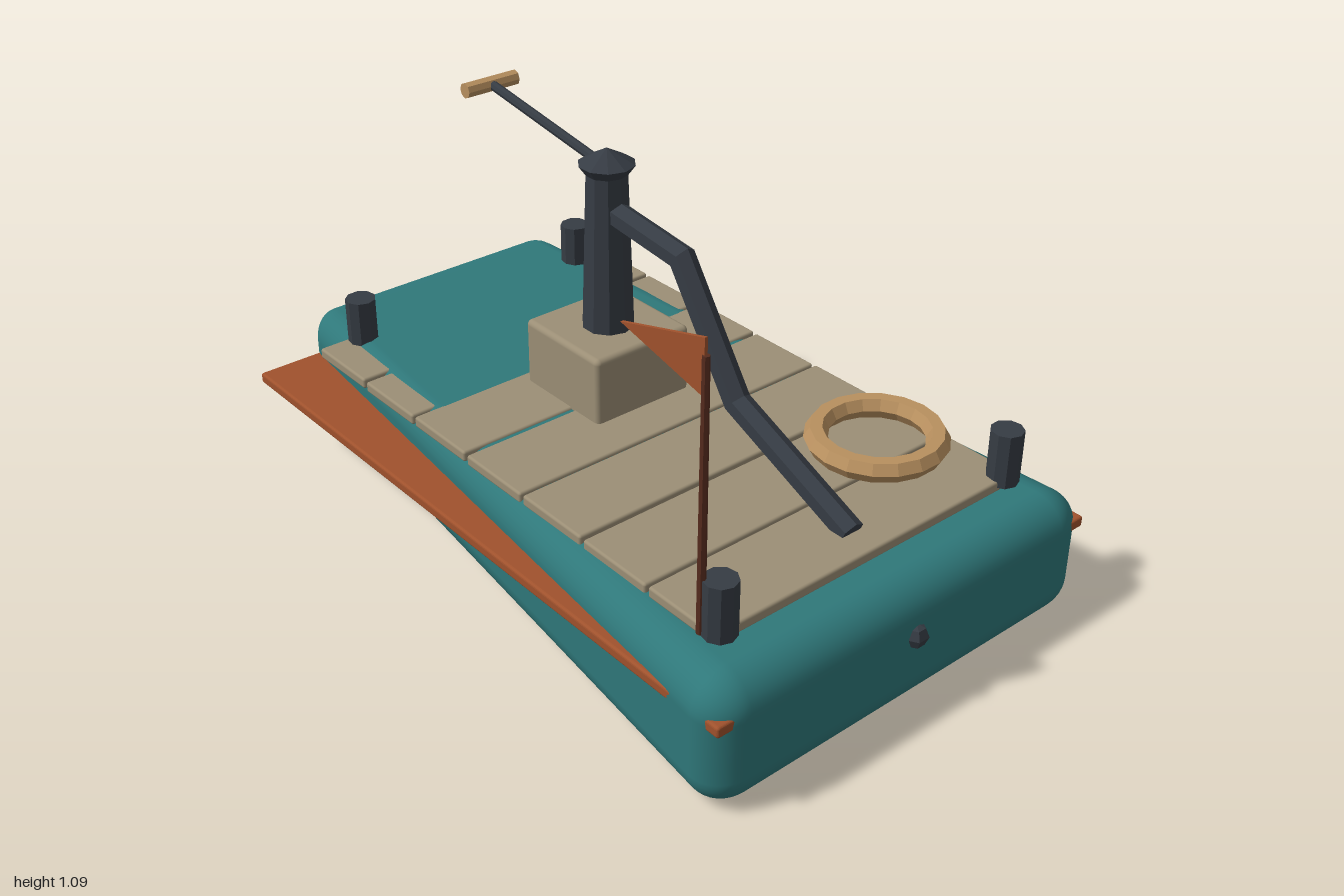
import * as THREE from 'three';
import { RoundedBoxGeometry } from 'three/addons/geometries/RoundedBoxGeometry.js';

const mat = (name, color, extra = {}) => {
  const m = new THREE.MeshStandardMaterial({ color, ...extra });
  m.name = name;
  return m;
};

export function createModel() {
  const flat = { flatShading: true };
  const teal = mat('tealHull', 0x2f787a);
  const wood = mat('greyWood', 0x9c8f76);
  const tan = mat('tanRope', 0xb8905f, flat);
  const iron = mat('darkIron', 0x363c44, flat);
  const rust = mat('rust', 0xa0522d, { ...flat, side: THREE.DoubleSide });
  const brown = mat('darkBrown', 0x562c1e, flat);

  const model = new THREE.Group();
  model.name = 'deckBoat';
  const add = (name, geometry, material, x = 0, y = 0, z = 0) => {
    const mesh = new THREE.Mesh(geometry, material);
    mesh.name = name;
    mesh.position.set(x, y, z);
    model.add(mesh);
    return mesh;
  };

  // Hull: rounded block, narrowing and rising toward the back
  const hull = new RoundedBoxGeometry(1.031, 0.339, 1.975, 5, 0.09);
  const p = hull.attributes.position;
  for (let i = 0; i < p.count; i++) {
    const z = p.getZ(i) - 0.0125;
    p.setXYZ(i, p.getX(i) * (1 + 0.204 * z), p.getY(i) + 0.1965 - 0.027 * z, z);
  }
  add('hull', hull, teal);

  // Rubbing board running through the hull
  add('rubbingBoard', new RoundedBoxGeometry(1.2, 0.03, 1.906, 2, 0.007), rust, 0, 0.254, 0.0125);

  // Deck planks
  for (let i = 0; i < 7; i++) {
    add('deckPlank', new RoundedBoxGeometry(0.98, 0.03, 0.222, 2, 0.007), wood,
      0, 0.3585 + (i % 2 ? -0.001 : 0.001), 0.72 - i * 0.2325);
  }

  // Pedestal and central post with a pointed cap
  add('pedestal', new RoundedBoxGeometry(0.305, 0.2, 0.3, 3, 0.015), wood, 0, 0.455, -0.14);
  const profile = [[0.07, 0.54], [0.055, 0.978], [0.074, 1.004], [0, 1.045]];
  add('post', new THREE.LatheGeometry(profile.map(([r, y]) => new THREE.Vector2(r, y)), 10),
    iron, 0, 0, -0.135);

  // Tiller with crosswise grip
  const rod = (name, a, b, r, material, sides = 8) => {
    const dir = b.clone().sub(a);
    const mesh = add(name, new THREE.CylinderGeometry(r, r, dir.length(), sides), material);
    mesh.position.copy(a).add(b).multiplyScalar(0.5);
    mesh.quaternion.setFromUnitVectors(new THREE.Vector3(0, 1, 0), dir.normalize());
  };
  const V = (x, y, z) => new THREE.Vector3(x, y, z);
  rod('tiller', V(0, 0.995, -0.15), V(0, 1.068, -0.61), 0.013, iron);
  rod('tillerGrip', V(-0.081, 1.068, -0.625), V(0.081, 1.068, -0.625), 0.021, tan);

  // Bent six-sided pipe with mitred elbows
  add('bentPipe', mitredPipe([[0.88, -0.09], [0.852, 0.152], [0.545, 0.36], [0.375, 0.755]], 0.034), iron);

  // Corner bollards
  for (const [x, z] of [[-0.463, 0.815], [0.46, 0.815], [-0.37, -0.755], [0.37, -0.755]]) {
    add('bollard', new THREE.CylinderGeometry(0.042, 0.042, 0.145, 9), iron, x, 0.43, z);
  }

  // Life ring lying on the deck
  const ring = add('lifeRing', new THREE.TorusGeometry(0.152, 0.031, 6, 18), tan, 0.307, 0.41, 0.54);
  ring.rotation.x = -Math.PI / 2;

  // Flagpole and pennant
  add('flagpole', new THREE.CylinderGeometry(0.009, 0.011, 0.68, 7), brown, -0.495, 0.7, 0.79);
  const pennant = new THREE.Shape([[0, 1.08], [0.26, 1.008], [0, 0.945]]
    .map(([x, y]) => new THREE.Vector2(x, y)));
  const flag = add('pennant', new THREE.ExtrudeGeometry(pennant, { depth: 0.008, bevelEnabled: false }),
    rust, -0.499, 0, 0.79);
  flag.rotation.y = Math.PI / 2;

  // Small knob on the front face
  add('frontKnob', new THREE.SphereGeometry(0.033, 6, 4), iron, 0, 0.212, 0.968);

  return model;
}

// Hexagonal pipe along [y, z] points in the middle plane
function mitredPipe(path, r) {
  const pts = path.map(([y, z]) => new THREE.Vector2(z, y));
  const dirs = pts.slice(1).map((q, i) => q.clone().sub(pts[i]).normalize());
  const pos = [], index = [], n = 6;
  pts.forEach((q, i) => {
    const a = dirs[Math.max(i - 1, 0)], b = dirs[Math.min(i, dirs.length - 1)];
    const t = a.clone().add(b).normalize();
    const k = r / t.dot(a);
    for (let j = 0; j < n; j++) {
      const w = (j + 0.5) * Math.PI / 3, s = Math.sin(w) * k;
      pos.push(Math.cos(w) * r, q.y + t.x * s, q.x - t.y * s);
      if (i < pts.length - 1) {
        const c = i * n + j, d = i * n + (j + 1) % n;
        index.push(c, d, c + n, d, d + n, c + n);
      }
    }
  });
  const last = (pts.length - 1) * n;
  for (let j = 1; j < n - 1; j++) index.push(0, j + 1, j, last, last + j, last + j + 1);
  const g = new THREE.BufferGeometry();
  g.setAttribute('position', new THREE.Float32BufferAttribute(pos, 3));
  g.setIndex(index);
  g.computeVertexNormals();
  return g;
}
